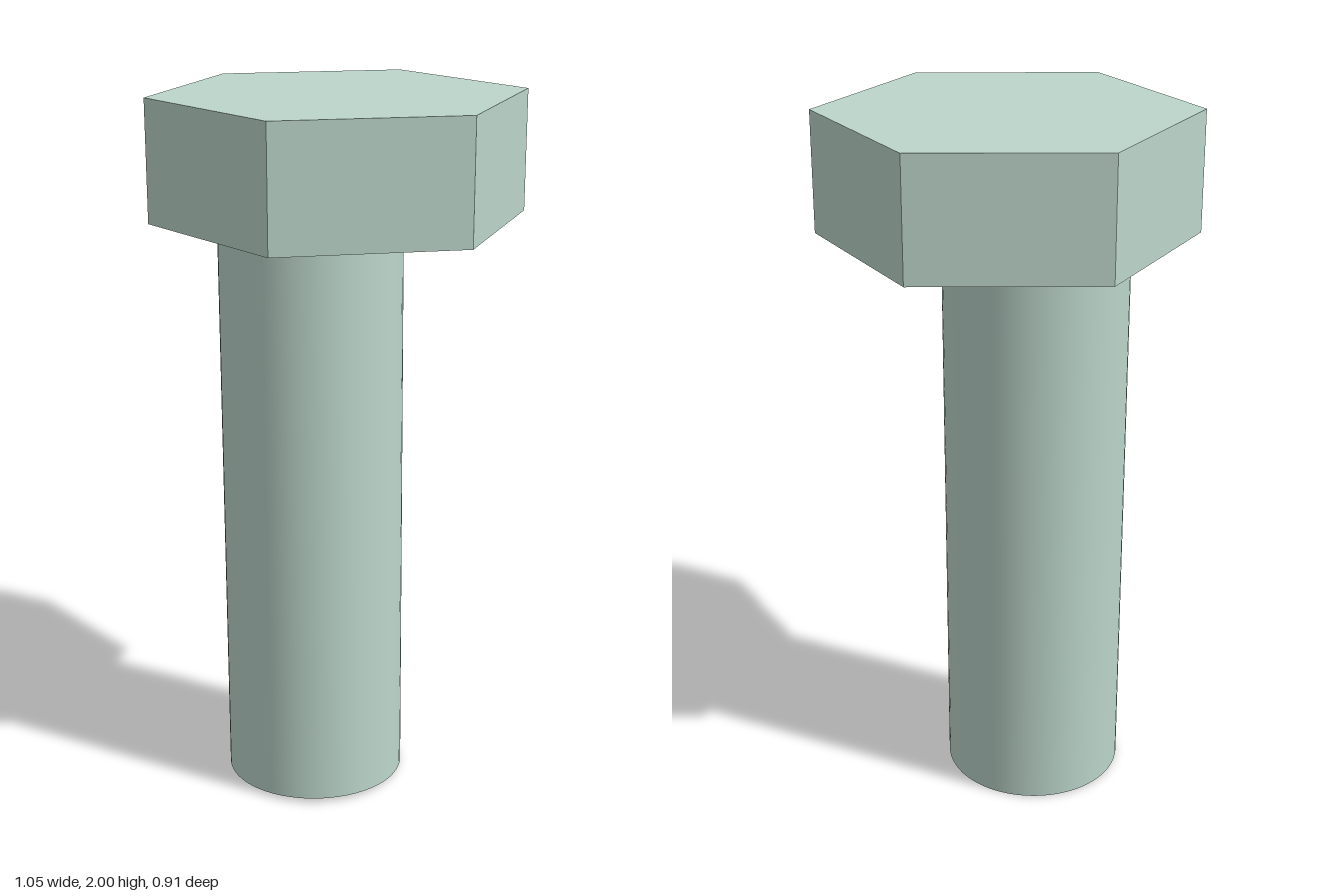
import * as THREE from 'three';

export function createModel() {
  const bolt = new THREE.Group();
  bolt.name = 'hexBolt';
  const color = 0xbcd6cb;

  // Six-sided head, corners pointing along x
  const headBottom = 1.663, headTop = 2;
  const head = new THREE.Mesh(
    new THREE.CylinderGeometry(0.523, 0.523, headTop - headBottom, 6, 1, false, Math.PI / 2),
    new THREE.MeshStandardMaterial({ color, flatShading: true })
  );
  head.name = 'head';
  head.position.y = (headBottom + headTop) / 2;
  bolt.add(head);

  // Round shank, off-centre and leaning slightly back, its top sunk into the head
  const length = 1.68;
  const shankGeometry = new THREE.CylinderGeometry(0.257, 0.257, length, 64);
  shankGeometry.translate(0, length / 2, 0);
  const shank = new THREE.Mesh(shankGeometry, new THREE.MeshStandardMaterial({ color }));
  shank.name = 'shank';
  shank.position.set(-0.076, 0.0065, 0.01);
  shank.rotation.x = -0.025;
  bolt.add(shank);

  return bolt;
}
